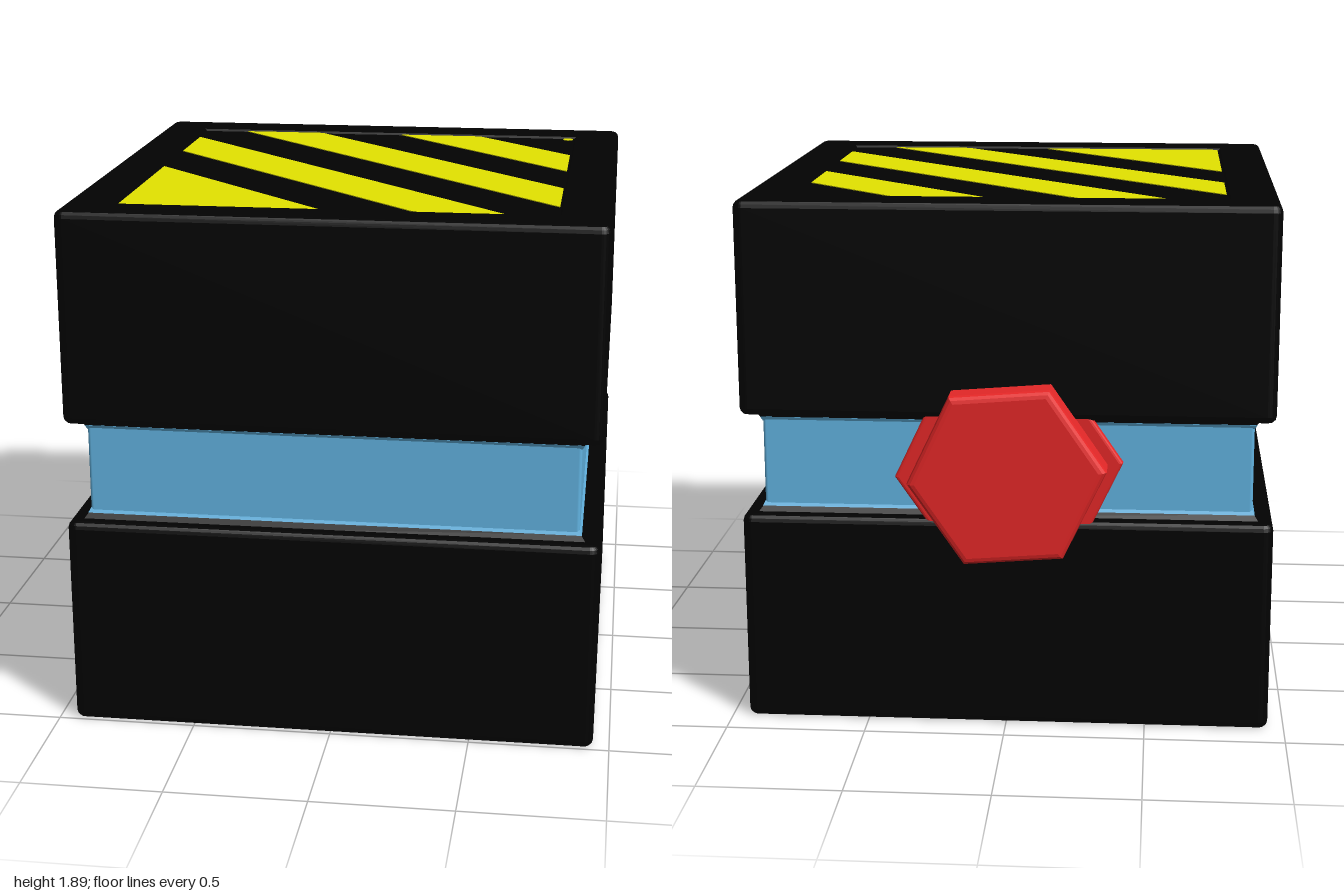
import * as THREE from 'three';
import { RoundedBoxGeometry } from 'three/addons/geometries/RoundedBoxGeometry.js';

export function createModel() {
  const makeMaterial = (name, color) => {
    const m = new THREE.MeshStandardMaterial({ color });
    m.name = name;
    return m;
  };
  const casing = makeMaterial('black casing', 0x020202);
  const glow = makeMaterial('blue band', 0x62b4e2);
  const paint = makeMaterial('yellow paint', 0xe4e400);
  const red = makeMaterial('red knob', 0xe92828);

  const group = new THREE.Group();
  const zMid = 0.055; // the block sits forward of centre to leave room for the knob

  const add = (name, geometry, material, x, y, z) => {
    const mesh = new THREE.Mesh(geometry, material);
    mesh.name = name;
    mesh.position.set(x, y, z);
    group.add(mesh);
    return mesh;
  };

  // Square frustum given by its half widths, with flat sides
  const frustum = (top, bottom, height) => {
    const g = new THREE.CylinderGeometry(top * Math.SQRT2, bottom * Math.SQRT2, height, 4)
      .rotateY(Math.PI / 4).toNonIndexed();
    g.computeVertexNormals();
    return g;
  };

  // Rounded square outline with a square opening
  const frameShape = (half, r, hole) => {
    const s = new THREE.Shape();
    const c = half - r;
    [[c, c], [-c, c], [-c, -c], [c, -c]].forEach(([x, y], i) => {
      s.absarc(x, y, r, (i * Math.PI) / 2, ((i + 1) * Math.PI) / 2, false);
    });
    s.closePath();
    s.holes.push(new THREE.Path([
      new THREE.Vector2(-hole, -hole), new THREE.Vector2(-hole, hole),
      new THREE.Vector2(hole, hole), new THREE.Vector2(hole, -hole),
    ]));
    return s;
  };

  // Casing halves: a soft-edged frame around a core that leaves a shallow recess outside
  const addCasing = (name, bottom, height, coreBottom, coreTop) => {
    const frame = new THREE.ExtrudeGeometry(frameShape(0.9175, 0.01, 0.785), {
      depth: height - 0.05, bevelThickness: 0.025, bevelSize: 0.025, bevelSegments: 3, curveSegments: 3,
    });
    add(name + 'Frame', frame.rotateX(-Math.PI / 2), casing, 0, bottom + 0.025, zMid);
    const core = new THREE.BoxGeometry(1.55, coreTop - coreBottom, 1.55);
    add(name + 'Panel', core, casing, 0, (coreBottom + coreTop) / 2, zMid);
  };
  addCasing('lowerCasing', 0, 0.765, 0.012, 0.76);
  addCasing('upperCasing', 1.13, 0.76, 1.135, 1.879);

  // Sloped lips between casing and band
  add('lowerLip', frustum(0.875, 0.905, 0.04), casing, 0, 0.765, zMid);
  add('upperLip', frustum(0.905, 0.875, 0.04), casing, 0, 1.13, zMid);

  // Recessed band with slightly flared ends
  add('band', new RoundedBoxGeometry(1.74, 0.4, 1.745, 2, 0.012), glow, 0, 0.95, zMid);
  add('lowerBandFlare', frustum(0.87, 0.878, 0.016), glow, 0, 0.791, zMid);
  add('upperBandFlare', frustum(0.878, 0.87, 0.016), glow, 0, 1.104, zMid);

  // Diagonal warning stripes, as [x, z] outlines on the top panel
  const stripes = [
    [[-0.76, 0.1], [-0.76, 0.815], [-0.045, 0.815]],
    [[-0.76, -0.55], [-0.76, -0.23], [0.285, 0.815], [0.595, 0.815]],
    [[-0.59, -0.71], [0.76, 0.655], [0.76, 0.33], [-0.275, -0.71]],
    [[0.055, -0.71], [0.76, 0], [0.76, -0.33], [0.38, -0.71]],
  ];
  for (const outline of stripes) {
    const shape = new THREE.Shape(outline.map(([x, z]) => new THREE.Vector2(x, -z)));
    const plate = new THREE.ExtrudeGeometry(shape, { depth: 0.005, bevelEnabled: false });
    add('stripe', plate.rotateX(-Math.PI / 2), paint, 0, 1.877, 0);
  }
  add('paintDot', new THREE.CylinderGeometry(0.02, 0.02, 0.005, 8), paint, 0.74, 1.8795, -0.69);

  // Bevelled hexagonal knob on the back, with a wider collar tucked into the gap
  const addHexagon = (name, radius, depth, bevel, z) => {
    const hexagon = new THREE.Shape(Array.from({ length: 6 }, (_, i) => {
      const a = (i * Math.PI) / 3;
      return new THREE.Vector2(radius * Math.cos(a), radius * Math.sin(a));
    }));
    const g = new THREE.ExtrudeGeometry(hexagon, {
      depth: depth - 2 * bevel, bevelThickness: bevel, bevelSize: bevel, bevelSegments: 3,
    });
    add(name, g, red, -0.01, 0.947, z + bevel).rotation.z = -0.08;
  };
  addHexagon('knob', 0.321, 0.16, 0.025, -1);
  addHexagon('knobCollar', 0.39, 0.04, 0.012, -0.88);

  return group;
}
